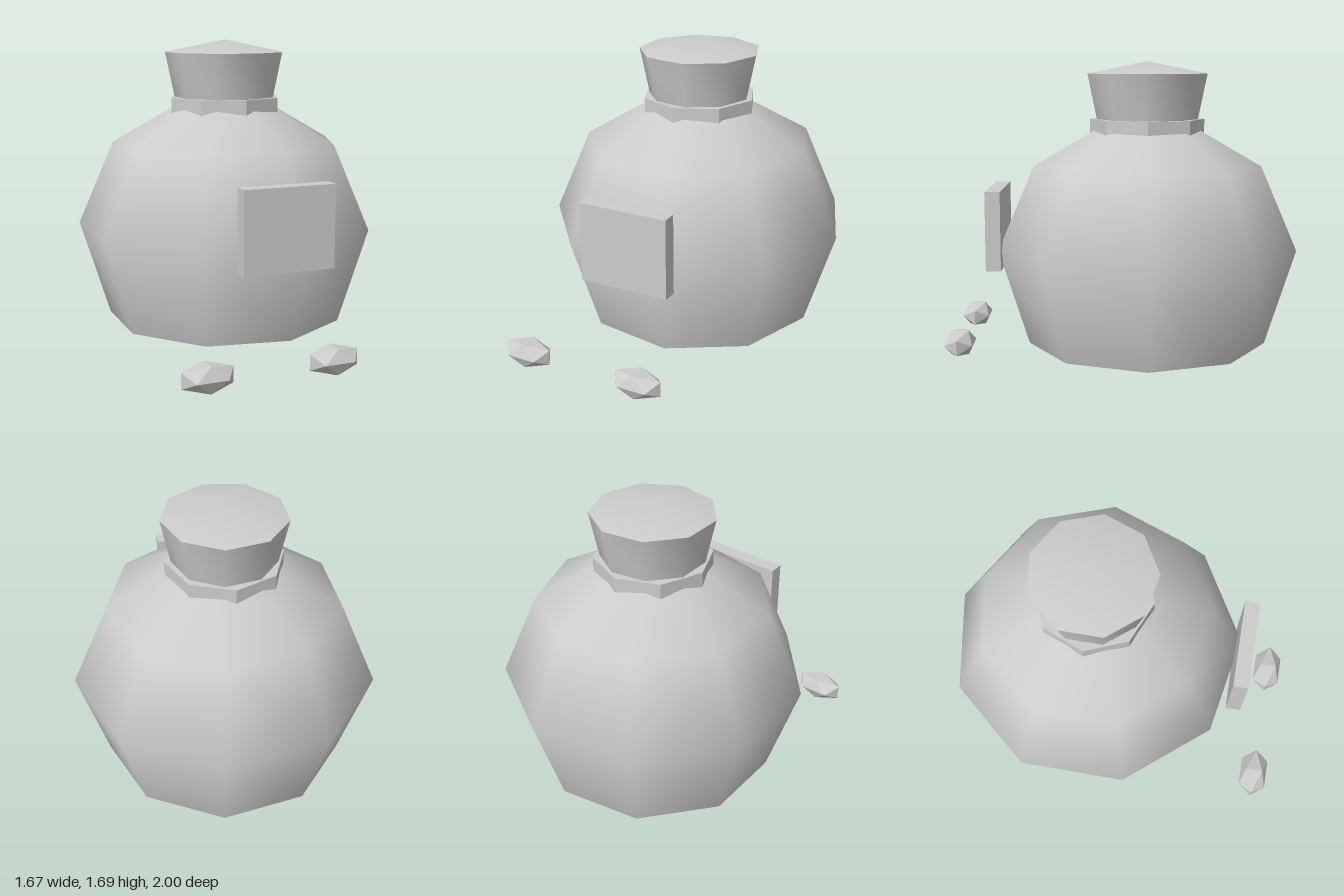
import * as THREE from 'three';
import { toCreasedNormals } from 'three/addons/utils/BufferGeometryUtils.js';

export function createModel() {
  const model = new THREE.Group();
  model.name = 'tiedSack';
  const grey = new THREE.MeshStandardMaterial({ color: 0xcccccc });
  grey.name = 'light grey';

  const add = (parent, name, geometry, x, y, z) => {
    const mesh = new THREE.Mesh(geometry, grey);
    mesh.name = name;
    mesh.position.set(x, y, z);
    parent.add(mesh);
    return mesh;
  };

  // Nine-sided turned shape with one corner toward +x
  const turned = (profile) => toCreasedNormals(
    new THREE.LatheGeometry(profile.map(([r, y]) => new THREE.Vector2(r, y)), 9, Math.PI / 2),
    1.05,
  );

  // Round sack with its gathered top, a tie ring and a patch
  const sack = new THREE.Group();
  sack.name = 'sack';
  sack.position.set(-0.03, 0, -0.153);
  model.add(sack);
  add(sack, 'body', turned([
    [0, 0], [0.69, 0.07], [0.862, 0.62], [0.655, 1.1], [0.27, 1.32], [0, 1.34],
  ]), 0, 0, 0);
  add(sack, 'gatheredTop', turned([[0.285, 1.33], [0.345, 1.62], [0, 1.69]]), 0, 0, 0);

  const ring = new THREE.CylinderGeometry(0.328, 0.328, 0.085, 8).toNonIndexed();
  ring.computeVertexNormals();
  add(sack, 'tieRing', ring, 0, 1.32, 0);

  add(model, 'frontPatch', new THREE.BoxGeometry(0.515, 0.45, 0.085), -0.028, 0.745, 0.712);

  // Loose faceted nuggets on the ground
  const nugget = new THREE.IcosahedronGeometry(1, 0);
  nugget.rotateZ(Math.PI / 2);
  for (const [name, x] of [['rightNugget', -0.546], ['leftNugget', 0.145]]) {
    add(model, name, nugget, x, 0.087, 0.922).scale.set(0.16, 0.082, 0.094);
  }
  return model;
}
